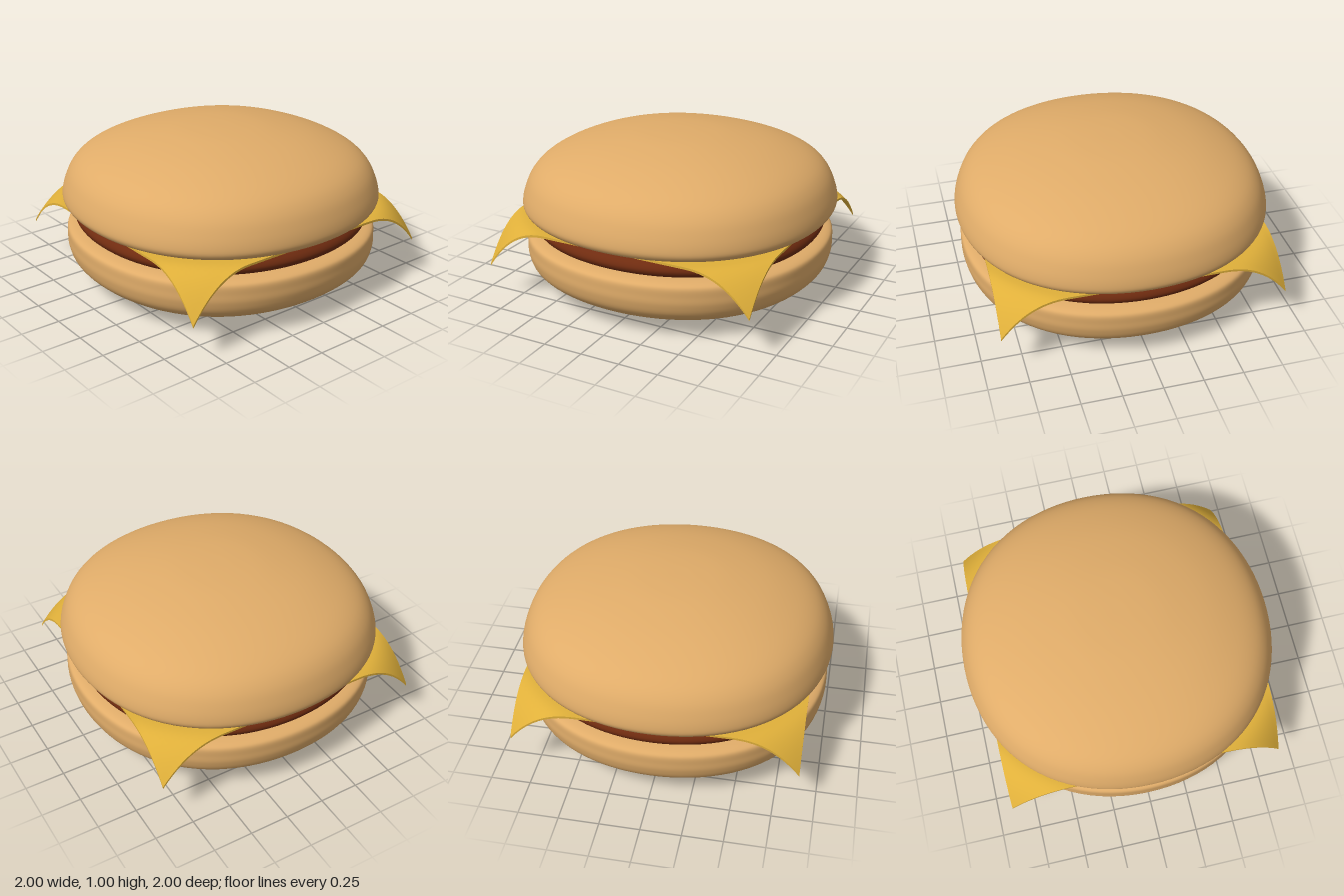
import * as THREE from 'three';
import { mergeVertices } from 'three/addons/utils/BufferGeometryUtils.js';

const bunMaterial = new THREE.MeshStandardMaterial({ color: 0xe0ac69 });
const pattyMaterial = new THREE.MeshStandardMaterial({ color: 0x702c10 });
const cheeseMaterial = new THREE.MeshStandardMaterial({ color: 0xe0b03a });

// Smooth turned layer, bulging slightly towards the diagonals
function roundLayer(name, profile, material) {
  const curve = new THREE.SplineCurve(profile.map(([r, y]) => new THREE.Vector2(r, y)));
  const points = curve.getPoints(56);
  points.forEach((p) => { p.x = Math.max(p.x, 0); });
  let geometry = new THREE.LatheGeometry(points, 96);
  const pos = geometry.attributes.position;
  for (let i = 0; i < pos.count; i++) {
    const x = pos.getX(i), z = pos.getZ(i);
    const bulge = 1 + 0.0125 * (1 - Math.cos(4 * Math.atan2(z, x)));
    pos.setX(i, x * bulge);
    pos.setZ(i, z * bulge);
  }
  // Weld the seam so the shading is continuous
  geometry.deleteAttribute('uv');
  geometry.deleteAttribute('normal');
  geometry = mergeVertices(geometry, 1e-5);
  geometry.computeVertexNormals();
  const mesh = new THREE.Mesh(geometry, material);
  mesh.name = name;
  return mesh;
}

// Thin square slice whose corners droop past the edge of the patty
function cheeseSlice() {
  const half = 0.889;
  const geometry = new THREE.BoxGeometry(2 * half, 0.014, 2 * half, 56, 1, 56);
  const pos = geometry.attributes.position;
  for (let i = 0; i < pos.count; i++) {
    const x = pos.getX(i), z = pos.getZ(i);
    const over = Math.max(0, Math.hypot(x, z) - 1.01);
    const strength = x < 0 && z > 0 ? 4.3 : 3.75;
    pos.setY(i, pos.getY(i) + 0.515 - strength * over * over);
  }
  geometry.computeVertexNormals();
  const mesh = new THREE.Mesh(geometry, cheeseMaterial);
  mesh.name = 'cheeseSlice';
  return mesh;
}

export function createModel() {
  const burger = new THREE.Group();
  burger.name = 'cheeseburger';

  // Hollow bottom bun with a small round opening underneath
  burger.add(roundLayer('bottomBun', [
    [0.16, 0.025], [0.35, 0.031], [0.55, 0.046], [0.74, 0.078], [0.87, 0.122],
    [0.95, 0.185], [0.978, 0.26], [0.98, 0.32], [0.977, 0.37], [0.955, 0.391],
    [0.91, 0.402], [0.86, 0.405],
  ], bunMaterial));

  burger.add(roundLayer('patty', [
    [0, 0.41], [0.4, 0.41], [0.7, 0.41], [0.87, 0.41], [0.91, 0.42],
    [0.928, 0.455], [0.91, 0.49], [0.87, 0.505], [0.7, 0.507], [0.4, 0.507], [0, 0.507],
  ], pattyMaterial));

  burger.add(cheeseSlice());

  // Domed top bun with a rounded lower lip
  burger.add(roundLayer('topBun', [
    [0, 0.524], [0.4, 0.524], [0.75, 0.524], [0.9, 0.528], [0.965, 0.541],
    [0.994, 0.57], [0.998, 0.61], [0.98, 0.68], [0.94, 0.765], [0.87, 0.838],
    [0.75, 0.902], [0.56, 0.964], [0.32, 1.009], [0.13, 1.024], [0, 1.026],
  ], bunMaterial));

  burger.position.set(-0.004, 0, -0.004);
  return burger;
}
